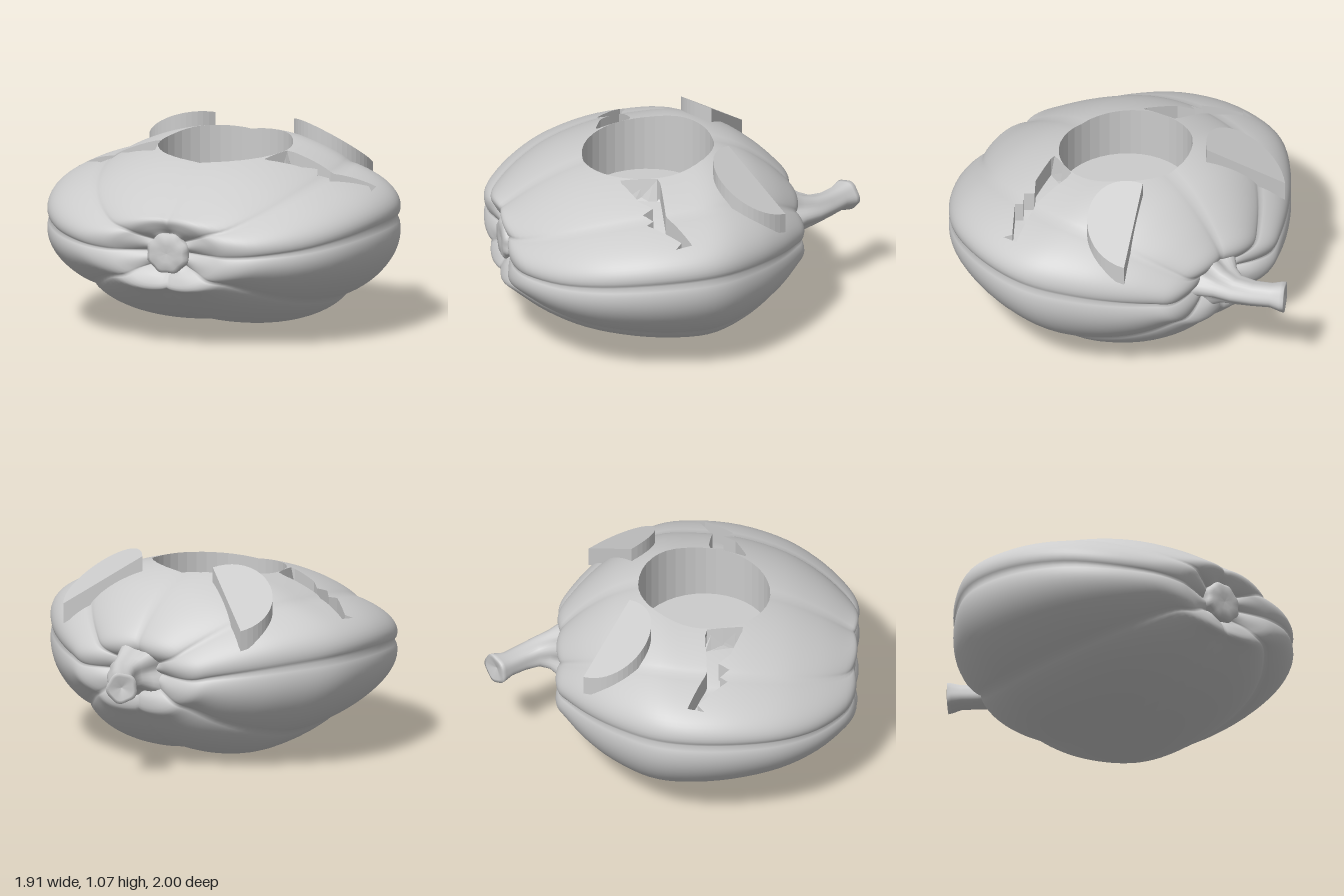
import * as THREE from 'three';

const grey = new THREE.MeshStandardMaterial({ color: 0xcccccc });
const greyDouble = new THREE.MeshStandardMaterial({ color: 0xcccccc, side: THREE.DoubleSide });

function addMesh(group, name, geometry, material = grey) {
  const mesh = new THREE.Mesh(geometry, material);
  mesh.name = name;
  group.add(mesh);
}

// Closed skin over rings of points; point(i, j) gives [x, y, z]
function skin(rows, cols, point) {
  const pos = [], index = [];
  for (let i = 0; i <= rows; i++) for (let j = 0; j < cols; j++) pos.push(...point(i, j));
  for (let i = 0; i < rows; i++) {
    for (let j = 0; j < cols; j++) {
      const k = (j + 1) % cols;
      const a = i * cols + j, b = a + cols, c = (i + 1) * cols + k, d = i * cols + k;
      index.push(a, b, c, a, c, d);
    }
  }
  const geo = new THREE.BufferGeometry();
  geo.setAttribute('position', new THREE.Float32BufferAttribute(pos, 3));
  geo.setIndex(index);
  geo.computeVertexNormals();
  return geo;
}

// Ribbed body along z. Stations: z, half width, height up, height down, centre y
const stations = [
  [0.93, 0, 0, 0, 0.52], [0.95, 0.12, 0.09, 0.09, 0.52], [0.985, 0.25, 0.14, 0.14, 0.52],
  [1.0, 0.37, 0.185, 0.195, 0.52], [0.95, 0.53, 0.21, 0.235, 0.53], [0.8, 0.72, 0.28, 0.35, 0.55],
  [0.6, 0.86, 0.34, 0.47, 0.58], [0.35, 0.94, 0.38, 0.56, 0.605], [0.1, 0.955, 0.395, 0.605, 0.615],
  [-0.1, 0.905, 0.41, 0.6, 0.61], [-0.3, 0.77, 0.37, 0.515, 0.59], [-0.45, 0.62, 0.3, 0.4, 0.565],
  [-0.56, 0.47, 0.225, 0.27, 0.54], [-0.61, 0.37, 0.18, 0.2, 0.52], [-0.61, 0.25, 0.13, 0.13, 0.52],
  [-0.57, 0.12, 0.08, 0.08, 0.52], [-0.54, 0, 0, 0, 0.52],
];
function bodyGeometry() {
  const curve = (f) => new THREE.CatmullRomCurve3(stations.map(f), false, 'catmullrom');
  const sides = curve((s) => new THREE.Vector3(s[0], s[1], s[4]));
  const heights = curve((s) => new THREE.Vector3(s[2], s[3], 0));
  const rows = 64, cols = 128;
  return skin(rows, cols, (i, j) => {
    const a = sides.getPoint(i / rows), h = heights.getPoint(i / rows);
    const t = (j / cols) * Math.PI * 2, s = Math.sin(t);
    const crease = 1 - Math.pow(Math.abs(Math.sin(4 * t)), 0.7);
    const end = Math.pow(Math.max(0, 1 - a.y / 0.956), 1.5);
    const r = 1.03 - (0.05 + 0.09 * end) * crease;
    // Diagonal ribs sit a little lower than on a plain ellipse
    const diagonal = Math.sin(2 * t) ** 2;
    const up = s > 0 ? h.x * (1 - 0.07 * diagonal) : h.y * (1 + 0.03 * diagonal);
    return [a.y * r * Math.cos(t) * (1 - 0.03 * diagonal), a.z + up * r * s,
      a.x - Math.sign(a.x - 0.2) * 0.045 * end * crease];
  });
}

// A cutter is a convex outline in x, z; walls marks the edges that get a side wall
function makeCutter(pts, walls, floor, floorList) {
  const area = pts.reduce((sum, p, i) => {
    const q = pts[(i + 1) % pts.length];
    return sum + p[0] * q[1] - q[0] * p[1];
  }, 0);
  const edges = pts.map((p, i) => {
    const q = pts[(i + 1) % pts.length], l = Math.sign(area) * Math.hypot(q[0] - p[0], q[1] - p[1]);
    return { wall: walls[i], dist: (v) => ((q[0] - p[0]) * (v[2] - p[1]) - (q[1] - p[1]) * (v[0] - p[0])) / l };
  });
  return { edges, floor, floorList };
}

function outlineCutters(pts, floor, floorList) {
  const tris = THREE.ShapeUtils.triangulateShape(pts.map((p) => new THREE.Vector2(...p)), []);
  return tris.map((t) => makeCutter(t.map((i) => pts[i]),
    t.map((a, k) => Math.abs(a - t[(k + 1) % 3]) === 1), floor, floorList));
}

function split(poly, dist) {
  const inside = [], outside = [];
  poly.forEach((p, i) => {
    const q = poly[(i + 1) % poly.length], d = dist(p), e = dist(q);
    if (d >= 0) inside.push(p);
    if (d <= 0) outside.push(p);
    if (d * e < 0) {
      const m = p.map((v, k) => v + (q[k] - v) * (d / (d - e)));
      inside.push(m);
      outside.push(m);
    }
  });
  return [inside, outside];
}

function cutBody(geo, cutters) {
  const out = { shell: [], floors: [], walls: [] };
  const fan = (list, poly) => {
    for (let i = 1; i < poly.length - 1; i++) list.push(poly[0], poly[i], poly[i + 1]);
  };
  const subtract = (poly, { edges, floor, floorList }) => {
    const kept = [];
    let rest = poly;
    for (const { dist } of edges) {
      const [inside, outside] = split(rest, dist);
      if (inside.length < 3) return [poly];
      if (outside.length > 2) kept.push(outside);
      rest = inside;
    }
    const low = rest.map(floor);
    fan(out[floorList], low);
    rest.forEach((p, i) => {
      const k = (i + 1) % rest.length, q = rest[k];
      if (edges.some((e) => e.wall && Math.abs(e.dist(p)) < 1e-6 && Math.abs(e.dist(q)) < 1e-6)) {
        fan(out.walls, [p, q, low[k], low[i]]);
      }
    });
    return kept;
  };
  const P = geo.attributes.position.array, N = geo.attributes.normal.array, ids = geo.index.array;
  for (let f = 0; f < ids.length; f += 3) {
    const tri = [0, 1, 2].map((k) => {
      const o = ids[f + k] * 3;
      return [...P.slice(o, o + 3), ...N.slice(o, o + 3)];
    });
    let pieces = [tri];
    if (tri.every((v) => v[1] > 0.64)) {
      for (const c of cutters) pieces = pieces.flatMap((p) => subtract(p, c));
    }
    pieces.forEach((p) => fan(out.shell, p));
  }
  return out;
}

function toGeometry(verts, flat) {
  const geo = new THREE.BufferGeometry();
  geo.setAttribute('position', new THREE.Float32BufferAttribute(verts.flatMap((v) => v.slice(0, 3)), 3));
  if (flat) geo.computeVertexNormals();
  else geo.setAttribute('normal', new THREE.Float32BufferAttribute(verts.flatMap((v) => v.slice(3)), 3));
  return geo;
}

// Jagged mouth half, and the steep ramp that rises to the opening
const mouth = [[0.41, 0.19], [0.625, 0.205], [0.85, 0.106], [0.862, 0.196], [0.83, 0.16], [0.67, 0.317],
  [0.645, 0.275], [0.6, 0.325], [0.575, 0.265], [0.51, 0.33], [0.345, 0.39]];
const ramp = [[0.41, 0.19], [0.37, 0.2], [0.32, 0.39], [0.345, 0.39]];
function mouthFloor([x, y, z, ...n]) {
  const inner = 0.37 - 0.263 * (z - 0.2);
  return [x, y - 0.11 * THREE.MathUtils.clamp((Math.abs(x) - inner) / 0.025, 0, 1), z, ...n];
}

// Half-round raised eye, sheared to lie on the sloping top
function eyeGeometry(side) {
  const shape = new THREE.Shape();
  for (let i = 0; i <= 24; i++) {
    const t = (i / 24) * Math.PI, c = 0.212 * Math.cos(t), b = 0.25 * Math.pow(Math.sin(t), 0.9);
    const x = side * (0.405 + 0.825 * c + 0.565 * b), z = -0.34 - 0.565 * c + 0.825 * b;
    if (i) shape.lineTo(x, -z);
    else shape.moveTo(x, -z);
  }
  const geo = new THREE.ExtrudeGeometry(shape, { depth: 0.11, bevelEnabled: false });
  geo.rotateX(-Math.PI / 2);
  const p = geo.attributes.position;
  for (let i = 0; i < p.count; i++) {
    const x = Math.abs(p.getX(i)), z = p.getZ(i);
    p.setY(i, p.getY(i) + 0.95 - 0.39 * (x - 0.23) + 0.52 * (z + 0.22));
  }
  geo.computeVertexNormals();
  return geo;
}

// Bent stem. Rings: x, y, z, radius, turn about y, ridge strength
function stemGeometry() {
  const rings = [[0.02, 0.53, -0.53, 0.18, 0, 0.2], [0.025, 0.53, -0.6, 0.13, 0, 0.18],
    [0.025, 0.53, -0.66, 0.098, 0.1, 0.1], [0.01, 0.525, -0.73, 0.078, 0.35, 0.06],
    [-0.04, 0.52, -0.81, 0.068, 0.55, 0.04], [-0.1, 0.52, -0.885, 0.066, 0.65, 0.03],
    [-0.13, 0.52, -0.93, 0.08, 0.69, 0.04], [-0.142, 0.52, -0.948, 0.083, 0.69, 0.05],
    [-0.143, 0.52, -0.951, 0.065, 0.69, 0.05], [-0.13, 0.52, -0.935, 0, 0.69, 0]];
  return skin(rings.length - 1, 40, (i, j) => {
    const [x, y, z, radius, turn, ridge] = rings[i];
    const t = (j / 40) * Math.PI * 2, r = radius * (1 + ridge * Math.cos(5 * t + 0.5));
    return [x + r * Math.cos(t) * Math.cos(turn), y + r * Math.sin(t), z - r * Math.cos(t) * Math.sin(turn)];
  });
}

// Scalloped button at the blossom end
function buttonGeometry() {
  const rings = [[0.98, 0], [0.985, 0.05], [0.985, 0.095], [0.97, 0.117], [0.94, 0.12], [0.9, 0.1]];
  return skin(rings.length - 1, 48, (i, j) => {
    const t = (j / 48) * Math.PI * 2, r = rings[i][1] * (1 - 0.04 * Math.cos(8 * t));
    return [r * Math.cos(t), 0.517 + 0.92 * r * Math.sin(t), rings[i][0]];
  });
}

export function createModel() {
  const group = new THREE.Group();
  group.name = 'pumpkinPlanter';

  // Round opening with a flat floor
  const circle = Array.from({ length: 40 }, (_, i) => {
    const t = (i / 40) * Math.PI * 2;
    return [0.365 * Math.cos(t), 0.175 + 0.355 * Math.sin(t)];
  });
  const cutters = [makeCutter(circle, circle.map(() => true), (v) => [v[0], 0.67, v[2], 0, 1, 0], 'floors')];
  for (const side of [1, -1]) {
    const mirror = (outline) => outline.map(([x, z]) => [side * x, z]);
    cutters.push(...outlineCutters(mirror(mouth), mouthFloor, 'floors'));
    cutters.push(...outlineCutters(mirror(ramp), mouthFloor, 'walls'));
  }
  const parts = cutBody(bodyGeometry(), cutters);
  addMesh(group, 'body', toGeometry(parts.shell));
  addMesh(group, 'recessFloors', toGeometry(parts.floors));
  addMesh(group, 'recessWalls', toGeometry(parts.walls, true), greyDouble);

  addMesh(group, 'leftEye', eyeGeometry(1));
  addMesh(group, 'rightEye', eyeGeometry(-1));
  addMesh(group, 'stem', stemGeometry());
  addMesh(group, 'blossomButton', buttonGeometry());
  return group;
}
